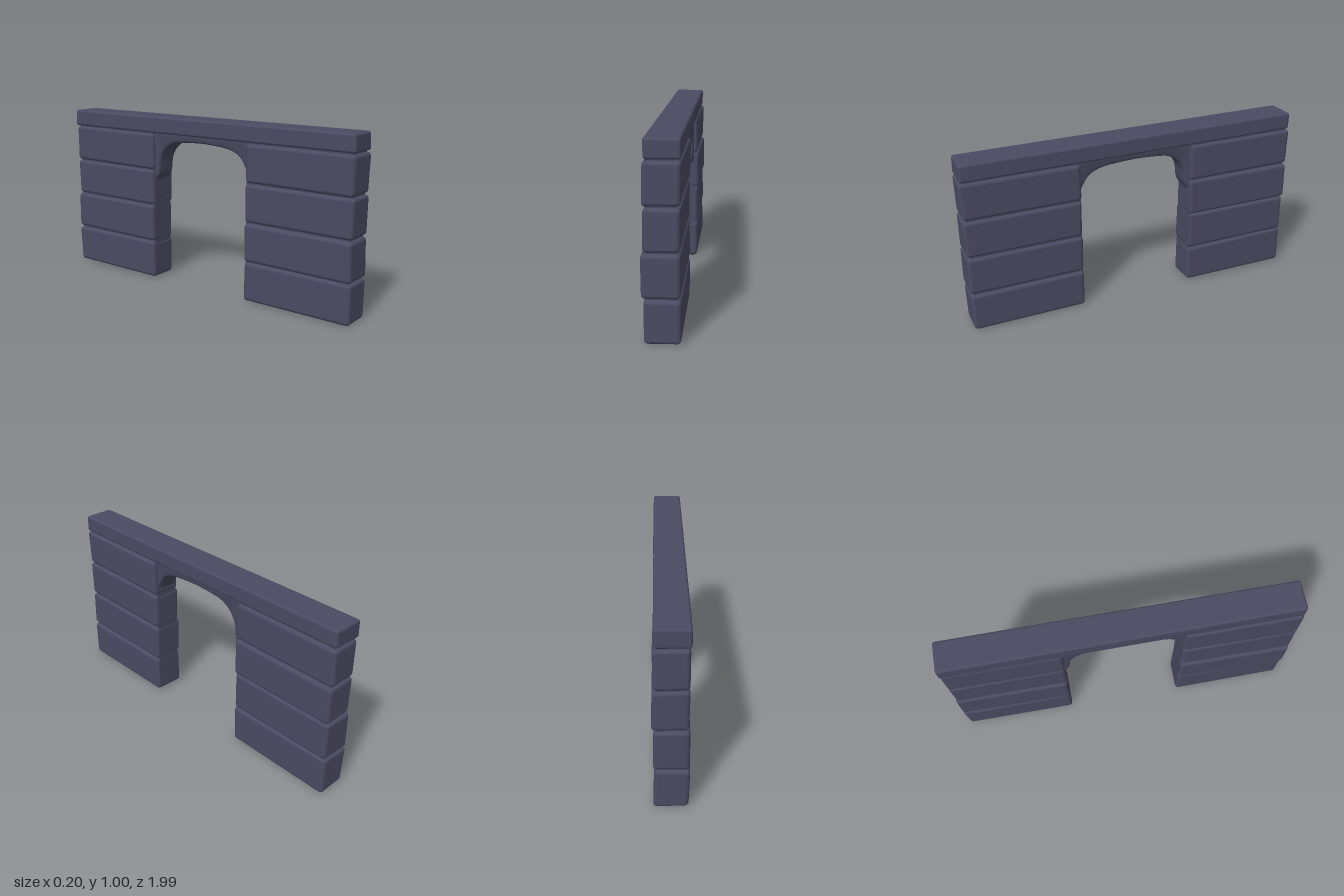
import * as THREE from 'three';
import { toCreasedNormals } from 'three/addons/utils/BufferGeometryUtils.js';
import { RoundedBoxGeometry } from 'three/addons/geometries/RoundedBoxGeometry.js';

// Small seeded generator for the hand-cut look, -1..1
let seed = 7;
function wobble() {
  seed = (seed * 16807) % 2147483647;
  return (seed / 2147483647) * 2 - 1;
}

// Rounded stone between two corners, with its eight corners nudged slightly
function stone([x0, x1], [y0, y1], [z0, z1], radius, jitter) {
  const size = new THREE.Vector3(x1 - x0, y1 - y0, z1 - z0);
  const geo = new RoundedBoxGeometry(size.x, size.y, size.z, 3, radius);
  const nudges = Array.from({ length: 8 }, () =>
    new THREE.Vector3(wobble(), wobble() * 0.6, wobble()).multiplyScalar(jitter));
  const pos = geo.attributes.position;
  const p = new THREE.Vector3();
  for (let i = 0; i < pos.count; i++) {
    p.fromBufferAttribute(pos, i);
    const u = p.x / size.x + 0.5, v = p.y / size.y + 0.5, w = p.z / size.z + 0.5;
    nudges.forEach((n, k) => {
      const weight = (k & 1 ? u : 1 - u) * (k & 2 ? v : 1 - v) * (k & 4 ? w : 1 - w);
      p.addScaledVector(n, weight);
    });
    pos.setXYZ(i, p.x, p.y, p.z);
  }
  geo.translate((x0 + x1) / 2, (y0 + y1) / 2, (z0 + z1) / 2);
  return geo;
}

export function createModel() {
  const group = new THREE.Group();
  const slate = new THREE.MeshStandardMaterial({ color: 0x4a4a62 });
  slate.name = 'slate';

  function add(name, geo, parent = group) {
    const mesh = new THREE.Mesh(geo, slate);
    mesh.name = name;
    parent.add(mesh);
    return mesh;
  }

  // Two piers of four courses around a recessed core
  const courses = [[0.004, 0.227], [0.234, 0.453], [0.459, 0.673], [0.679, 0.894]];
  const widths = {
    frontPier: [[-0.089, 0.09], [-0.098, 0.088], [-0.09, 0.088], [-0.09, 0.09]],
    backPier: [[-0.088, 0.088], [-0.09, 0.088], [-0.086, 0.094], [-0.088, 0.088]],
  };
  for (const [name, side] of [['frontPier', 1], ['backPier', -1]]) {
    const pier = new THREE.Group();
    pier.name = name;
    group.add(pier);
    const span = side > 0 ? [0.336, 0.995] : [-0.993, -0.336];
    courses.forEach((course, i) =>
      add('block' + (i + 1), stone(widths[name][i], course, span, 0.02, 0.004), pier));
    const core = new THREE.BoxGeometry(0.144, 0.9, 0.636);
    core.translate(0, 0.48, side * 0.657);
    add('core', core, pier);
  }

  // Lintel, leaning a touch towards -x at the back
  const beam = stone([-0.088, 0.087], [0.9, 0.999], [-0.992, 0.992], 0.014, 0.002);
  const bp = beam.attributes.position;
  for (let i = 0; i < bp.count; i++) bp.setX(i, bp.getX(i) + 0.004 * bp.getZ(i));
  add('lintel', beam);

  // Recessed arch under the lintel, lower at the back springing
  const curve = new THREE.SplineCurve([
    [0.338, 0.715], [0.318, 0.755], [0.28, 0.81], [0.215, 0.842], [0.12, 0.855], [0, 0.86],
    [-0.12, 0.855], [-0.2, 0.843], [-0.26, 0.805], [-0.295, 0.745], [-0.308, 0.66], [-0.338, 0.61],
  ].map(([z, y]) => new THREE.Vector2(z, y)));
  const profile = new THREE.Shape([
    new THREE.Vector2(-0.38, 0.61), new THREE.Vector2(-0.38, 0.93),
    new THREE.Vector2(0.38, 0.93), new THREE.Vector2(0.38, 0.715),
    ...curve.getPoints(44),
  ]);
  const arch = new THREE.ExtrudeGeometry(profile, {
    depth: 0.09, bevelEnabled: true, bevelThickness: 0.02,
    bevelSize: 0.015, bevelOffset: -0.015, bevelSegments: 3,
  });
  arch.translate(0, 0, -0.045);
  arch.rotateY(-Math.PI / 2);
  add('arch', toCreasedNormals(arch, 0.7));

  return group;
}
